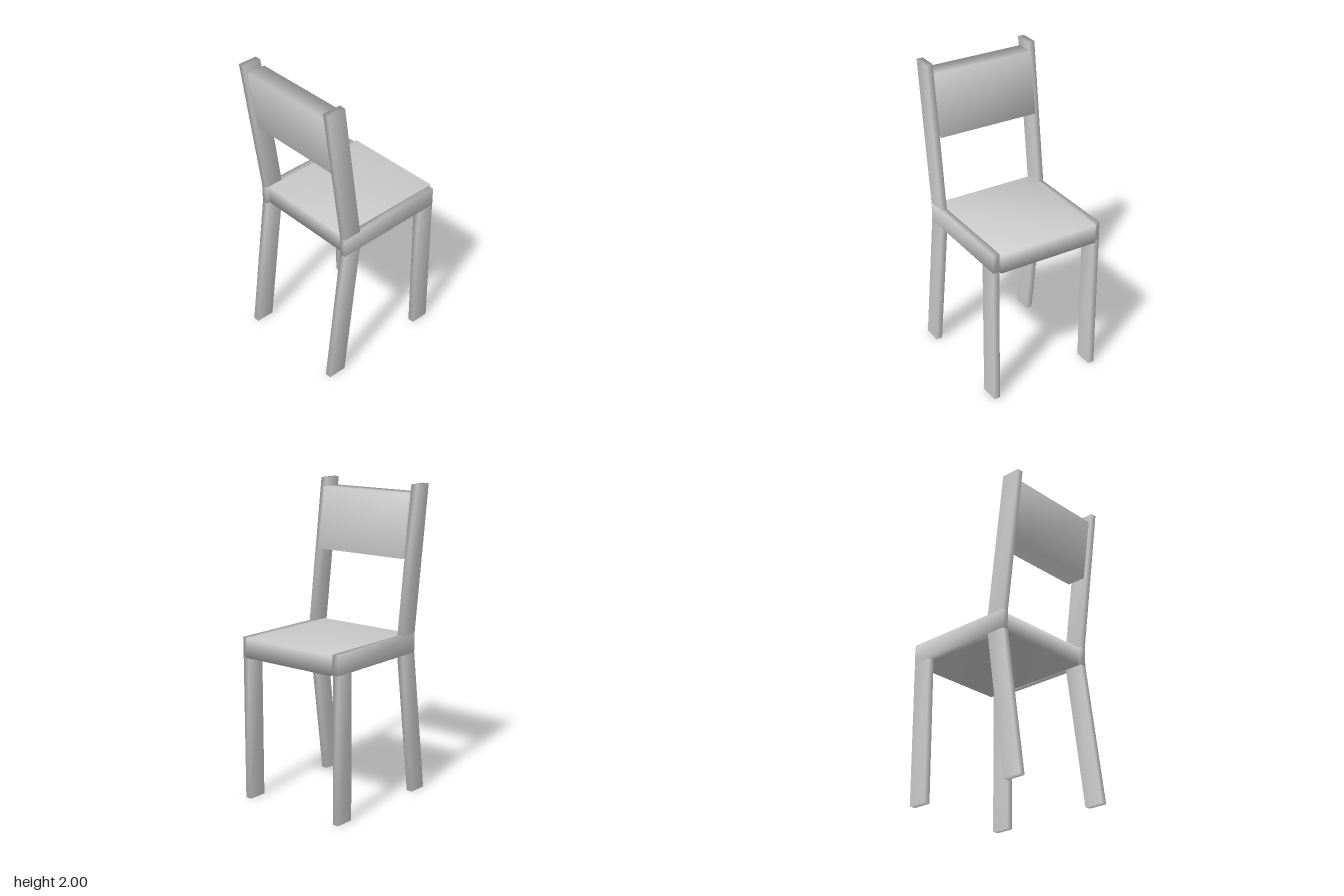
import * as THREE from 'three';
import { mergeVertices } from 'three/addons/utils/BufferGeometryUtils.js';

const material = new THREE.MeshStandardMaterial({ color: 0xcccccc });

// A straight bar between heights y0 and y1: its bottom spans x0..x0+width,
// and its top is shifted sideways by lean. Corners share smooth normals.
function bar(name, { x0, width, y0, y1, z = 0, depth, lean = 0 }) {
  let geometry = new THREE.BoxGeometry(width, y1 - y0, depth);
  geometry.translate(x0 + width / 2, (y0 + y1) / 2, z);
  const p = geometry.attributes.position;
  for (let i = 0; i < p.count; i++) {
    p.setX(i, p.getX(i) + lean * (p.getY(i) - y0) / (y1 - y0));
  }
  geometry.deleteAttribute('normal');
  geometry.deleteAttribute('uv');
  geometry = mergeVertices(geometry);
  geometry.computeVertexNormals();
  const mesh = new THREE.Mesh(geometry, material);
  mesh.name = name;
  return mesh;
}

export function createModel() {
  const chair = new THREE.Group();
  chair.name = 'chair';

  const seatBottom = 0.94, seatTop = 1.065;
  const width = 0.126, depth = 0.042, lean = 0.126;

  // Side frames: legs, seat rail and back post, one frame on each side
  for (const side of [1, -1]) {
    const z = side * 0.362;
    const frame = new THREE.Group();
    frame.name = side > 0 ? 'leftSideFrame' : 'rightSideFrame';
    frame.add(
      bar('frontLeg', { x0: 0.307, width, y0: 0, y1: seatBottom, z, depth }),
      bar('backLeg', { x0: -0.455, width, y0: 0, y1: seatBottom, z, depth, lean }),
      bar('seatRail', { x0: -0.329, width: 0.763, y0: seatBottom, y1: seatTop, z, depth }),
      bar('backPost', { x0: -0.329, width, y0: seatTop, y1: 2, z, depth, lean: -lean })
    );
    chair.add(frame);
  }

  // Seat slab, set slightly forward between the rails
  chair.add(bar('seat', { x0: -0.308, width: 0.763, y0: seatBottom, y1: seatTop, depth: 0.682 }));

  // Backrest panel, leaning with the posts
  chair.add(bar('backrest', { x0: -0.372, width: 0.128, y0: 1.545, y1: 1.947, depth: 0.682, lean: -0.058 }));

  return chair;
}
